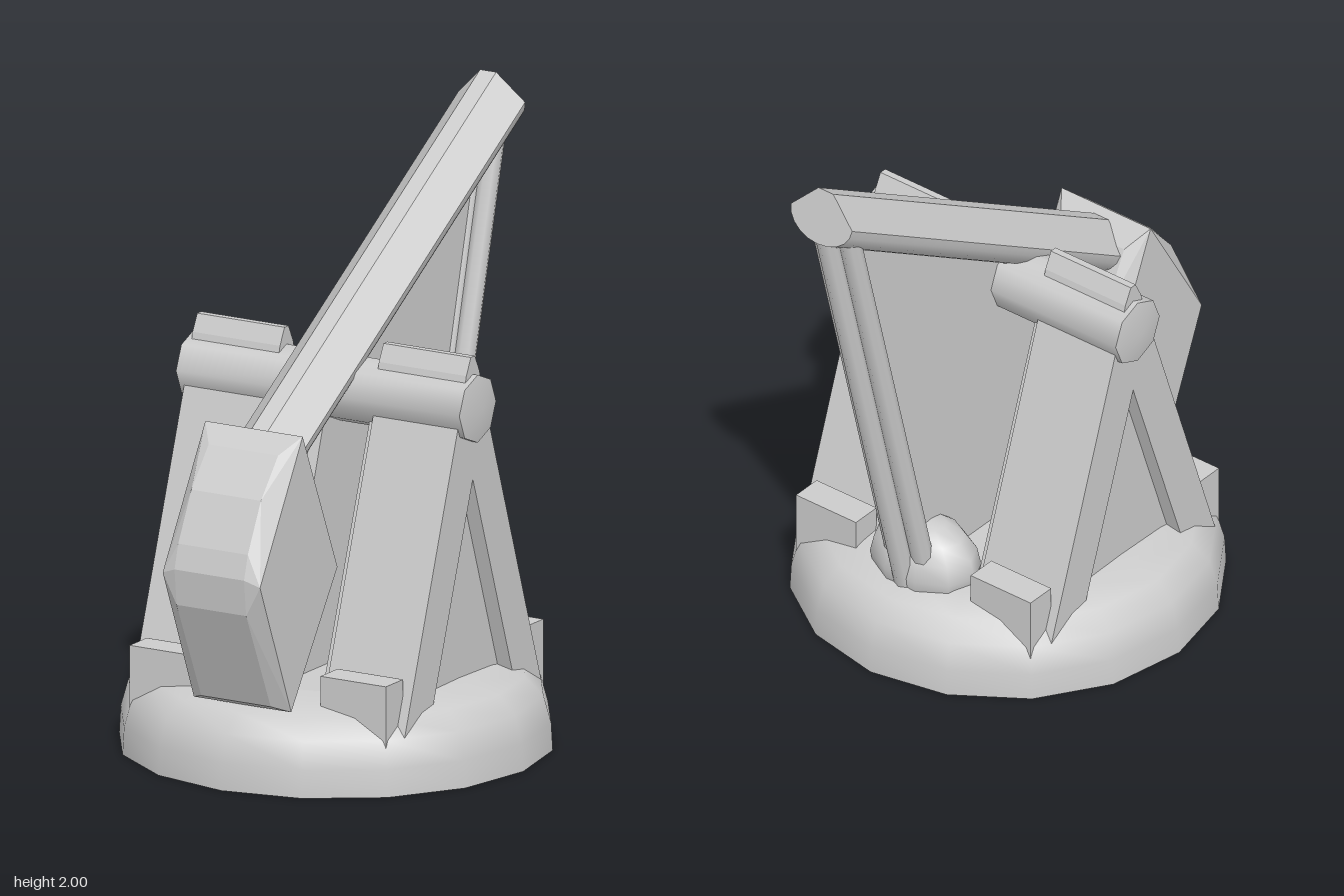
import * as THREE from 'three';
import { toCreasedNormals } from 'three/addons/utils/BufferGeometryUtils.js';
import { ConvexGeometry } from 'three/addons/geometries/ConvexGeometry.js';

const grey = new THREE.MeshStandardMaterial({ color: 0xcccccc });
const greyOpen = new THREE.MeshStandardMaterial({ color: 0xcccccc, side: THREE.DoubleSide });
const vec = (pts) => pts.map(([a, b]) => new THREE.Vector2(a, b));

export function createModel() {
  const root = new THREE.Group();
  const add = (name, geometry, material = grey, parent = root) => {
    const mesh = new THREE.Mesh(geometry, material);
    mesh.name = name;
    parent.add(mesh);
    return mesh;
  };

  // Flat outline given as [z, y], spanning x0..x1
  const slab = (pts, x0, x1, hole) => {
    const shape = new THREE.Shape(vec(pts));
    if (hole) shape.holes.push(new THREE.Path(vec(hole)));
    const g = new THREE.ExtrudeGeometry(shape, { depth: x1 - x0, bevelEnabled: false });
    return g.rotateY(-Math.PI / 2).translate(x1, 0, 0);
  };

  // Round base: a hollow shell, open underneath, with a thin deck in the middle
  const baseProfile = [[0.7, 0], [0.695, 0.09], [0.67, 0.18], [0.61, 0.24], [0.51, 0.27], [0.42, 0.28]];
  add('base', toCreasedNormals(new THREE.LatheGeometry(vec(baseProfile), 16).translate(0, 0, 0.1), 0.9), greyOpen);
  add('baseDeck', new THREE.CircleGeometry(0.42, 16).rotateX(-Math.PI / 2).translate(0, 0.28, 0.1));

  // A-frame supports, one on each side
  const half = (y) => 0.09 + 0.344 * (1.13 - y);
  const frame = [[0.1 + half(0.17), 0.17], [0.1 + half(1.2), 1.2], [0.1 - half(1.2), 1.2], [0.1 - half(0.17), 0.17]];
  const opening = [[0.365, 0.18], [0.1, 0.94], [-0.165, 0.18]];
  const web = [[0.505, 0.17], [0.175, 1.12], [0.025, 1.12], [-0.305, 0.17]];
  const ridge = [[0.05, 1.25], [0.06, 1.29], [0.088, 1.345], [0.112, 1.345], [0.14, 1.29], [0.15, 1.25]];
  for (const side of [1, -1]) {
    const support = new THREE.Group();
    support.name = side > 0 ? 'leftSupport' : 'rightSupport';
    const part = (name, pts, a, b, hole) =>
      add(name, slab(pts, Math.min(a * side, b * side), Math.max(a * side, b * side), hole), grey, support);
    part('aFrame', frame, 0.195, 0.512, opening);
    part('framePanel', opening, 0.38, 0.46);
    part('innerWeb', web, 0.175, 0.21);
    part('bearingRidge', ridge, 0.185, 0.512);
    // Foot blocks in front of and behind the frame
    for (const z of [0.525, -0.33]) {
      add('footBlock', new THREE.BoxGeometry(0.245, 0.22, 0.105), grey, support).position.set(0.357 * side, 0.25, z);
    }
    root.add(support);
  }

  // Axle with shallow pointed ends
  const axleProfile = vec([[0, -0.55], [0.112, -0.53], [0.112, 0.53], [0, 0.55]]);
  const axle = new THREE.LatheGeometry(axleProfile, 8).rotateZ(Math.PI / 2).translate(0, 1.175, 0.1);
  add('axle', toCreasedNormals(axle, 0.9));

  // Throwing arm: bevelled top, half-round underside, slanted end
  const section = [[0.03, 0], [-0.03, 0], [-0.125, -0.095]];
  for (let i = 1; i < 10; i++) {
    const a = Math.PI * i / 10;
    section.push([-0.125 * Math.cos(a), -0.095 - 0.095 * Math.sin(a)]);
  }
  section.push([0.125, -0.095]);
  const arm = new THREE.ExtrudeGeometry(new THREE.Shape(vec(section)), { depth: 1.65, bevelEnabled: false });
  arm.applyMatrix4(new THREE.Matrix4().makeBasis(
    new THREE.Vector3(1, 0, 0), new THREE.Vector3(0, 0.96, 0.23), new THREE.Vector3(0, -0.526, 0.85)
  ).setPosition(0, 2, -0.828));
  arm.computeVertexNormals();
  add('throwingArm', toCreasedNormals(arm, 0.6));

  // Counterweight: diamond block with raised, bevelled sides
  const corners = [[0.6, 1.15], [0.86, 0.71], [0.67, 0.255], [0.388, 0.67]];
  const raised = [[0.665, 1.095], [0.77, 0.97], [0.85, 0.81], [0.873, 0.73], [0.86, 0.61], [0.71, 0.275],
    [0.61, 0.31], [0.41, 0.6], [0.42, 0.88], [0.53, 1.085]];
  const points = [];
  for (const s of [1, -1]) {
    for (const [z, y] of corners) points.push(new THREE.Vector3(0.182 * s, y, z));
    for (const [z, y] of raised) points.push(new THREE.Vector3(0.13 * s, y, z));
  }
  add('counterweight', new ConvexGeometry(points));

  // Bundle of sling ropes running from the arm tip to the projectile
  for (const [x, z] of [[0.055, 0.03], [-0.055, 0.03], [0, 0.045], [0, -0.015]]) {
    const path = new THREE.LineCurve3(new THREE.Vector3(x, 1.82, -0.81 + z), new THREE.Vector3(x, 0.25, -0.405 + z));
    add('slingRope', new THREE.TubeGeometry(path, 1, 0.036, 8), greyOpen);
  }

  // Thin web filling the space between arm, ropes and base
  add('centreWeb', slab([[0.49, 0.22], [0.17, 1.2], [-0.8, 1.83], [-0.4, 0.22]], -0.02, 0.02));

  // Projectile resting on the base
  const stone = new THREE.SphereGeometry(1, 10, 8).scale(0.2, 0.16, 0.14);
  add('projectile', stone).position.set(0, 0.295, -0.32);

  return root;
}
